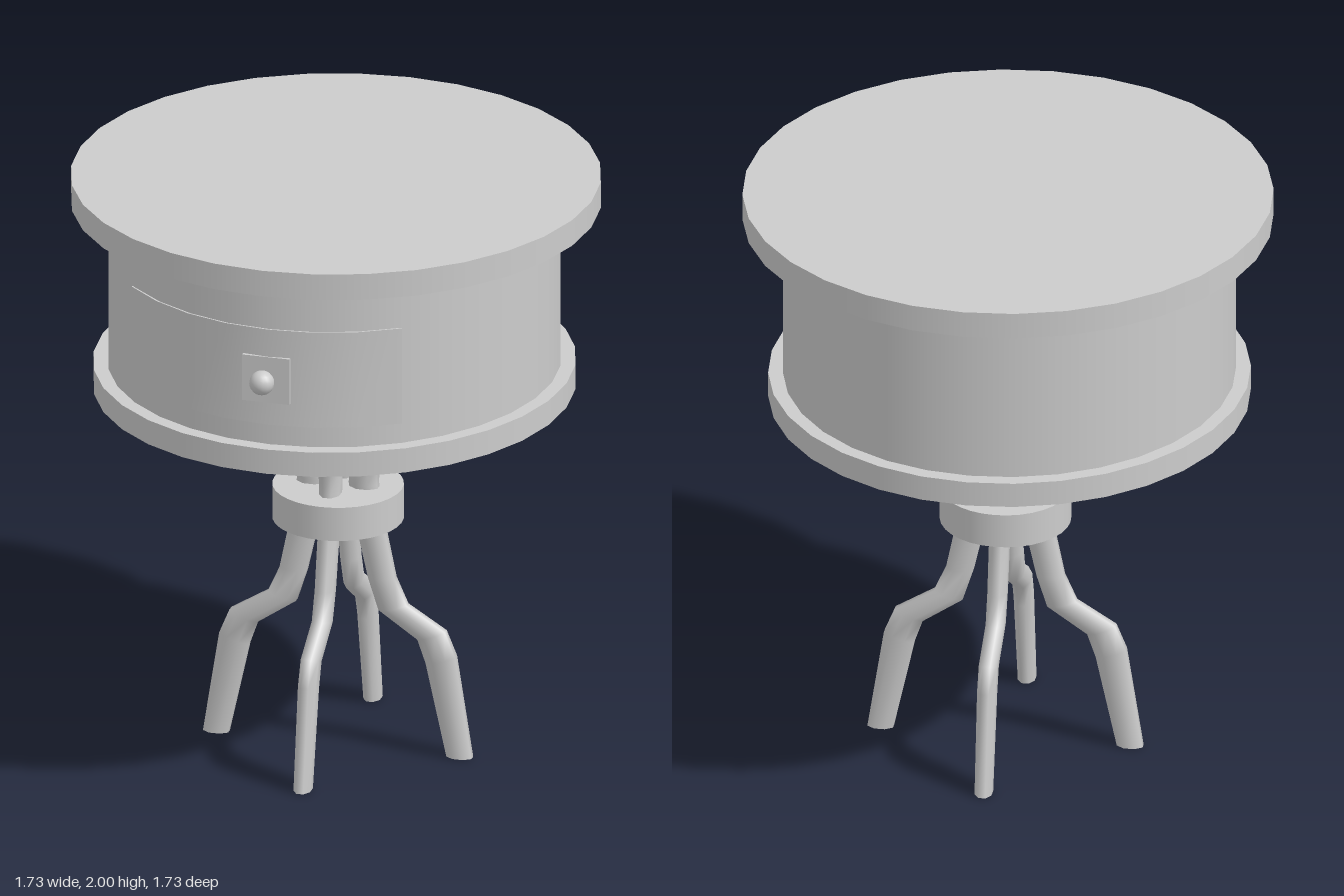
import * as THREE from 'three';

const material = new THREE.MeshStandardMaterial({ color: 0xcccccc });

function add(parent, name, geometry, x = 0, y = 0, z = 0) {
  const mesh = new THREE.Mesh(geometry, material);
  mesh.name = name;
  mesh.position.set(x, y, z);
  parent.add(mesh);
  return mesh;
}

// Flat round slab between two heights, slightly oval where rx and rz differ
function slab(parent, name, rx, rz, y0, y1, x = 0, z = 0) {
  const geometry = new THREE.CylinderGeometry(1, 1, y1 - y0, 32);
  geometry.scale(rx, 1, rz);
  return add(parent, name, geometry, x, (y0 + y1) / 2, z);
}

// Leg: octagonal sections between an inner and an outer outline
// rows: [y inner, r inner, y outer, r outer, width]
function legGeometry() {
  const rows = [
    [0, 0.37, 0, 0.455, 0.056],
    [0.32, 0.3, 0.35, 0.4, 0.06],
    [0.4, 0.272, 0.435, 0.365, 0.06],
    [0.49, 0.14, 0.515, 0.235, 0.06],
    [0.6, 0.105, 0.605, 0.195, 0.062],
    [0.8, 0.06, 0.8, 0.155, 0.064],
    [0.93, 0.04, 0.93, 0.135, 0.068],
    [1.01, 0.042, 1.0, 0.137, 0.07],
    [1.24, 0.112, 1.24, 0.2, 0.074],
  ];
  const n = 8, positions = [], index = [];
  const ring = ([yi, ri, yo, ro, w]) => {
    for (let j = 0; j < n; j++) {
      const a = ((j + 0.5) / n) * Math.PI * 2;
      const k = 1 / Math.cos(Math.PI / n);
      const c = Math.cos(a) * k, s = Math.sin(a) * k;
      positions.push((ri + ro) / 2 + c * (ro - ri) / 2, (yi + yo) / 2 + c * (yo - yi) / 2, s * w / 2);
    }
  };
  rows.forEach(ring);
  for (let i = 0; i < rows.length - 1; i++) {
    for (let j = 0; j < n; j++) {
      const a = i * n + j, b = i * n + (j + 1) % n;
      index.push(a, a + n, b, b, a + n, b + n);
    }
  }
  // Foot cap with its own corners, so its edge stays sharp
  const first = positions.length / 3;
  ring(rows[0]);
  for (let j = 1; j < n - 1; j++) index.push(first, first + j, first + j + 1);
  const geometry = new THREE.BufferGeometry();
  geometry.setAttribute('position', new THREE.Float32BufferAttribute(positions, 3));
  geometry.setIndex(index);
  geometry.computeVertexNormals();
  return geometry;
}

// Drawer front: a box bent around the body
function drawerGeometry(rx, rz) {
  const from = -0.8, to = 0.589;
  const geometry = new THREE.BoxGeometry(1, 0.335, 0.05, 7, 1, 1);
  const p = geometry.attributes.position;
  for (let i = 0; i < p.count; i++) {
    const a = from + (p.getX(i) + 0.5) * (to - from);
    const d = p.getZ(i) - 0.019;
    p.setXYZ(i, Math.sin(a) * (rx + d), p.getY(i), Math.cos(a) * (rz + d));
  }
  geometry.computeVertexNormals();
  return geometry;
}

export function createModel() {
  const model = new THREE.Group();
  model.name = 'roundDrawerTable';

  // Drum
  slab(model, 'tableTop', 0.866, 0.866, 1.91, 2);
  slab(model, 'drumBody', 0.738, 0.767, 1.34, 1.92, -0.005);
  slab(model, 'lowerPlate', 0.786, 0.815, 1.265, 1.35, -0.005);
  slab(model, 'mountingDisc', 0.43, 0.43, 1.225, 1.27, 0, 0.01);

  // Drawer with its plate and knob
  const drawer = new THREE.Group();
  drawer.name = 'drawer';
  model.add(drawer);
  add(drawer, 'drawerFront', drawerGeometry(0.738, 0.767), -0.005, 1.588, 0);
  add(drawer, 'knobPlate', new THREE.BoxGeometry(0.16, 0.16, 0.02), -0.015, 1.58, 0.767);
  const stem = add(drawer, 'knobStem', new THREE.CylinderGeometry(0.014, 0.014, 0.06, 12), -0.015, 1.588, 0.79);
  stem.rotation.x = Math.PI / 2;
  add(drawer, 'knob', new THREE.SphereGeometry(0.041, 16, 12), -0.015, 1.588, 0.825);

  // Pedestal: four curved legs gathered by a collar
  slab(model, 'legCollar', 0.215, 0.215, 0.8, 0.917, 0.01, 0.01);
  const leg = legGeometry();
  for (let i = 0; i < 4; i++) {
    add(model, 'leg' + (i + 1), leg, 0.01, 0, 0.01).rotation.y = (i * Math.PI) / 2;
  }
  return model;
}
